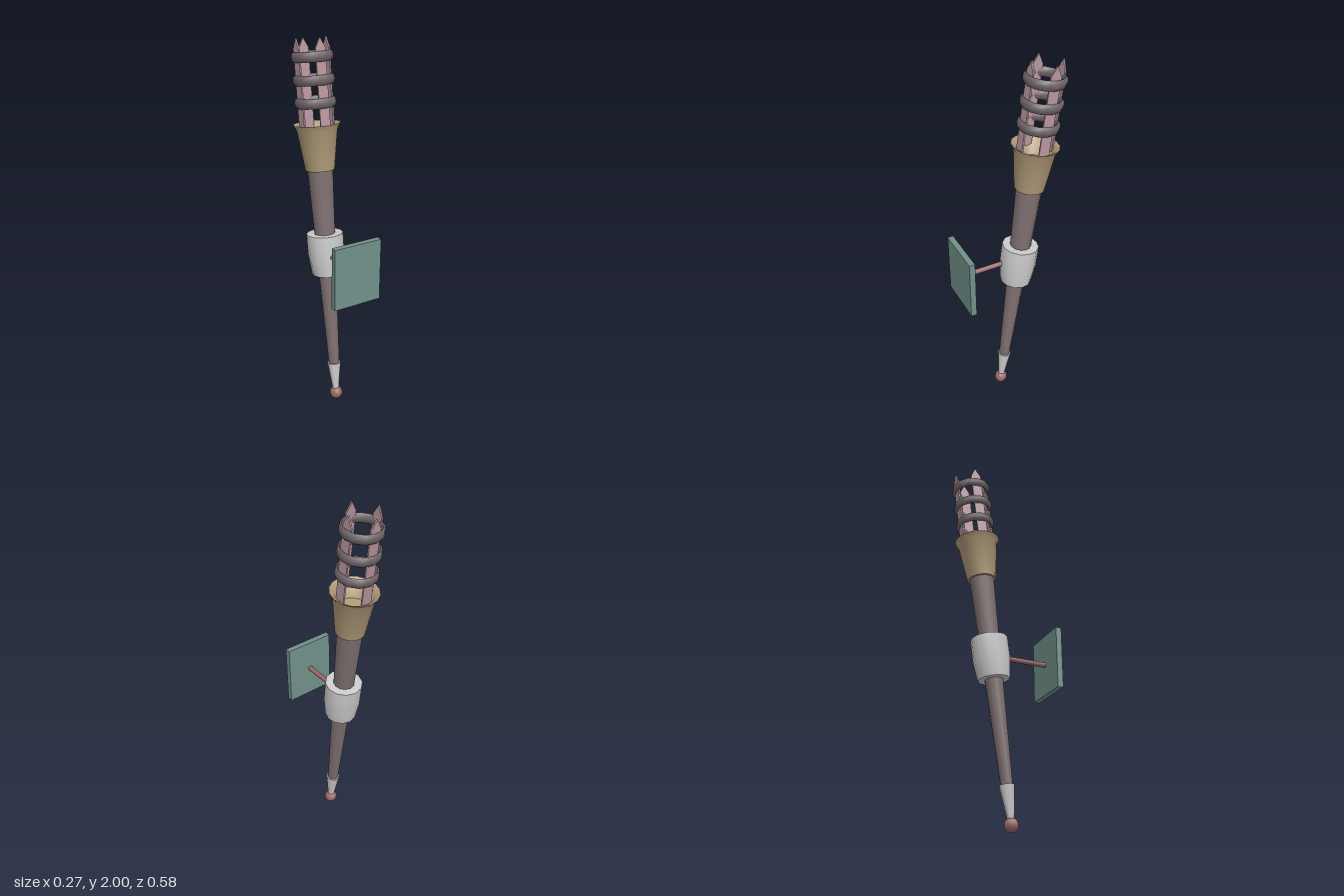
import * as THREE from 'three';
import { toCreasedNormals } from 'three/addons/utils/BufferGeometryUtils.js';

const paint = (color) => new THREE.MeshStandardMaterial({ color });
const wood = paint(0x7d6f70);
const grey = paint(0xcccccc);
const brass = paint(0xb09a78);
const pink = paint(0xb8959f);
const red = paint(0x9a6868);
const teal = paint(0x71908a);
const iron = paint(0x6e6467);

function add(parent, name, geometry, material) {
  const mesh = new THREE.Mesh(geometry, material);
  mesh.name = name;
  parent.add(mesh);
  return mesh;
}

// Turned part from [radius, height] points, listed from bottom to top
function turned(points, sides = 12) {
  const profile = points.map(([r, y]) => new THREE.Vector2(r, y));
  return toCreasedNormals(new THREE.LatheGeometry(profile, sides), 0.7);
}

export function createModel() {
  const model = new THREE.Group();
  model.name = 'wallTorch';

  // Everything on the torch axis is built upright, then leaned back
  const torch = new THREE.Group();
  torch.name = 'torch';
  torch.position.set(0.012, 0.037, 0.058);
  torch.rotation.x = -0.13;
  model.add(torch);

  // Handle
  add(torch, 'ballFinial', new THREE.SphereGeometry(0.037, 10, 8), red);
  add(torch, 'handleTip', turned([[0, 0.02], [0.017, 0.02], [0.038, 0.192], [0, 0.192]]), grey);
  add(torch, 'shaft', turned([[0, 0.18], [0.03, 0.18], [0.067, 1.32], [0.067, 1.4], [0, 1.4]]), wood);
  add(torch, 'collar', turned([
    [0, 0.731], [0.083, 0.731], [0.098, 0.843], [0.098, 0.958], [0, 0.958],
  ]), grey);

  // Hollow cup with a flared lip
  add(torch, 'cup', turned([
    [0, 1.305], [0.077, 1.305], [0.106, 1.515], [0.123, 1.545],
    [0.097, 1.53], [0.062, 1.46], [0, 1.46],
  ], 16), brass);

  // Three flattened hoops
  for (const y of [1.652, 1.765, 1.879]) {
    const hoop = new THREE.TorusGeometry(0.094, 0.0125, 8, 12);
    hoop.scale(1, 1, 2.05);
    hoop.rotateX(Math.PI / 2);
    hoop.computeVertexNormals();
    add(torch, 'hoop', toCreasedNormals(hoop, 0.9), iron).position.y = y;
  }

  // Four pointed slats inside the hoops
  const outline = new THREE.Shape([
    [-0.028, 1.45], [0.028, 1.45], [0.028, 1.92], [0, 1.97], [-0.028, 1.92],
  ].map(([x, y]) => new THREE.Vector2(x, y)));
  const slat = new THREE.ExtrudeGeometry(outline, { depth: 0.008, bevelEnabled: false });
  slat.translate(0, 0, 0.081);
  for (let i = 0; i < 4; i++) {
    add(torch, 'slat', slat, pink).rotation.y = (i * Math.PI) / 2;
  }

  // Wall mount: plate and rod, square to the world
  add(model, 'wallPlate', new THREE.BoxGeometry(0.27, 0.335, 0.031), teal)
    .position.set(-0.002, 0.888, 0.27);
  const rod = new THREE.CylinderGeometry(0.0135, 0.0135, 0.29, 10);
  rod.rotateX(Math.PI / 2);
  add(model, 'mountRod', rod, red).position.set(-0.002, 0.887, 0.115);

  return model;
}
